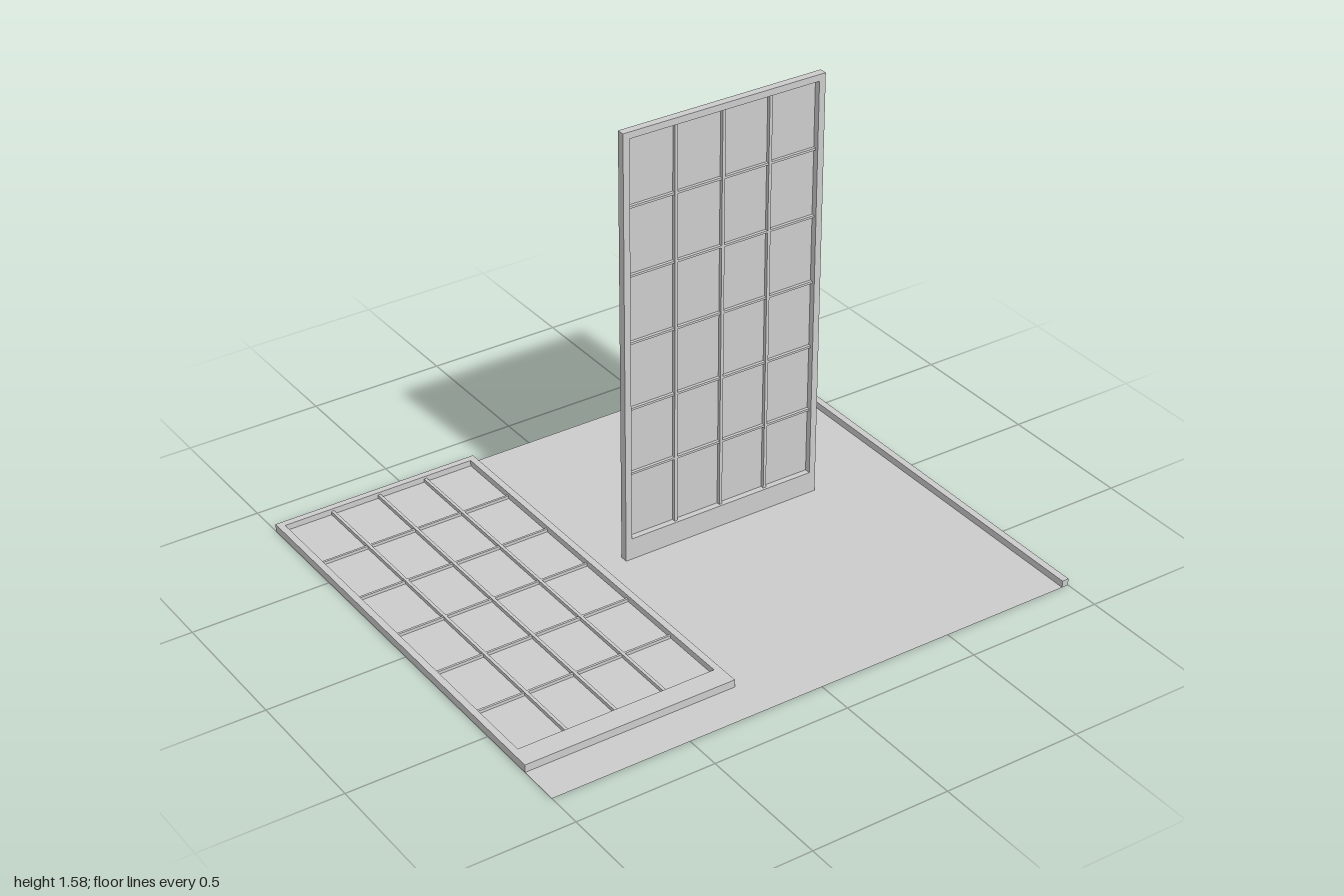
import * as THREE from 'three';

const W = 0.773, H = 1.582, D = 0.028;      // panel size
const STILE = 0.024, BOTTOM = 0.08;         // frame widths
const COLS = 4, ROWS = 6;

const material = new THREE.MeshStandardMaterial({ color: 0xcccccc, side: THREE.DoubleSide });

function box(name, w, h, d, x, y, z) {
  const mesh = new THREE.Mesh(new THREE.BoxGeometry(w, h, d), material);
  mesh.name = name;
  mesh.position.set(x, y, z);
  return mesh;
}

function rectangle(PathType, x0, y0, x1, y1) {
  return new PathType([[x0, y0], [x1, y0], [x1, y1], [x0, y1]].map(([x, y]) => new THREE.Vector2(x, y)));
}

// Sliding lattice panel: bottom edge on y = 0, lattice side towards +z
function latticePanel(name) {
  const panel = new THREE.Group();
  panel.name = name;

  const x0 = -W / 2 + STILE, y0 = BOTTOM, y1 = H - STILE;
  const innerW = W - 2 * STILE, innerH = y1 - y0;

  // Frame with one large opening and a deeper bottom rail
  const shape = rectangle(THREE.Shape, -W / 2, 0, W / 2, H);
  shape.holes.push(rectangle(THREE.Path, x0, y0, -x0, y1));
  const geometry = new THREE.ExtrudeGeometry(shape, { depth: D, bevelEnabled: false });
  geometry.translate(0, 0, -D / 2);
  const frame = new THREE.Mesh(geometry, material);
  frame.name = 'frame';
  panel.add(frame);

  // Paper sheet set just inside the back of the frame
  const paperZ = -D / 2 + 0.005;
  panel.add(box('paper', innerW, innerH, 0.002, 0, (y0 + y1) / 2, paperZ));

  // Lattice bars standing in front of the paper
  const barDepth = 0.014, barZ = paperZ + barDepth / 2;
  for (let i = 1; i < COLS; i++) {
    panel.add(box('verticalBar', 0.011, innerH, barDepth, x0 + (innerW * i) / COLS, (y0 + y1) / 2, barZ));
  }
  for (let i = 1; i < ROWS; i++) {
    panel.add(box('horizontalBar', innerW, 0.008, barDepth - 0.002, 0, y0 + (innerH * i) / ROWS, barZ - 0.001));
  }
  return panel;
}

export function createModel() {
  const model = new THREE.Group();
  model.name = 'latticeScreens';

  // Thin floor sheet
  const floor = new THREE.Mesh(new THREE.PlaneGeometry(2, 1.734).rotateX(-Math.PI / 2), material);
  floor.name = 'floor';
  model.add(floor);

  // Loose rail along the edge of the floor
  model.add(box('edgeRail', 0.025, 0.025, 1.734, 0.9875, 0.0125, 0));

  const standing = latticePanel('standingPanel');
  standing.position.set(0.263, 0, -0.073);
  model.add(standing);

  // The second panel lies on its back
  const lying = latticePanel('lyingPanel');
  lying.rotation.x = -Math.PI / 2;
  lying.position.set(-1 + W / 2, D / 2, 0.715);
  model.add(lying);

  return model;
}
